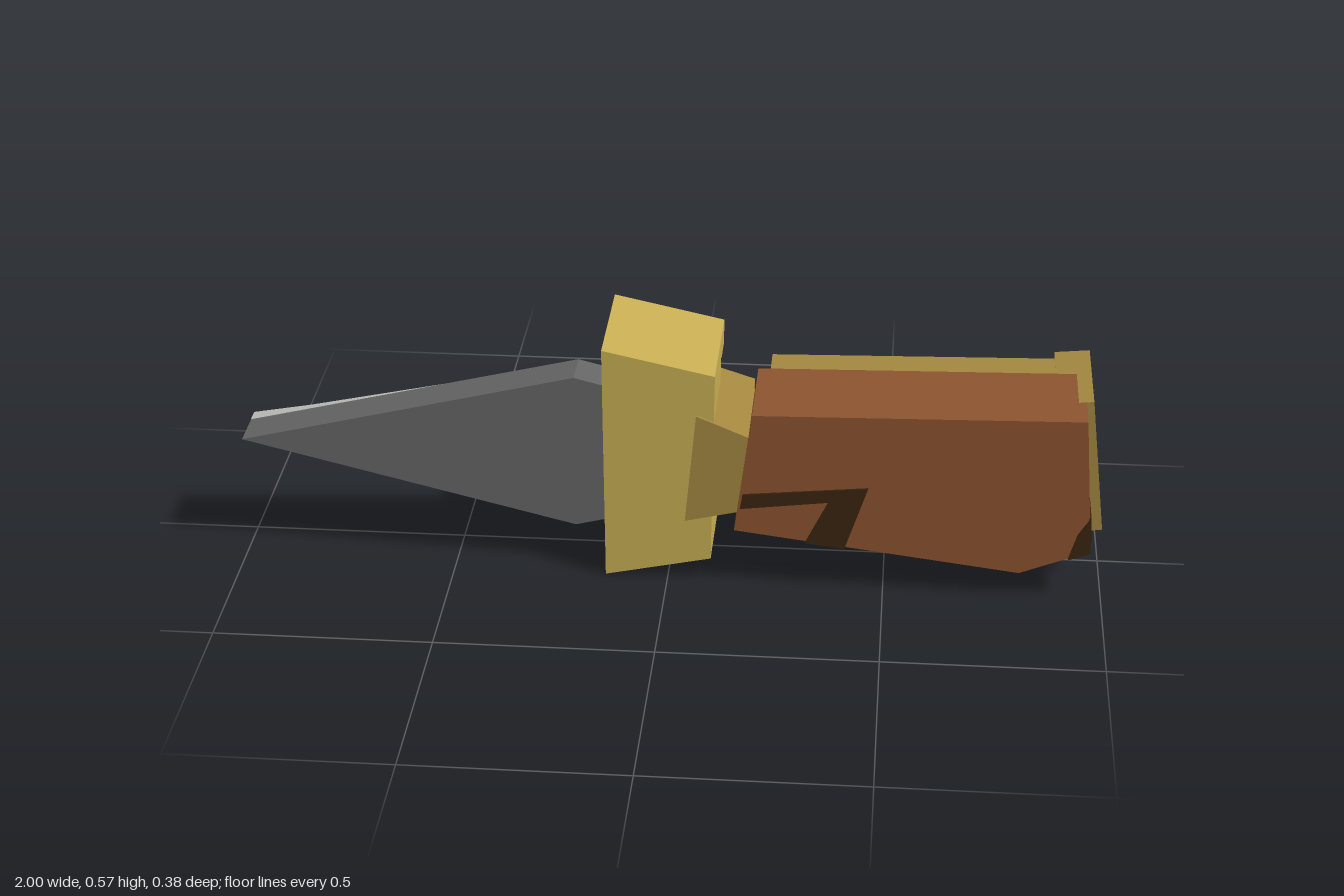
import * as THREE from 'three';

const mat = (name, color) => {
  const m = new THREE.MeshStandardMaterial({ color, flatShading: true, side: THREE.DoubleSide });
  m.name = name;
  return m;
};

export function createModel() {
  const group = new THREE.Group();
  const steel = mat('dark steel', 0x666666);
  const bright = mat('bright steel', 0xbdbdb9);
  const gold = mat('gold', 0xc8ae54);
  const bronze = mat('dark gold', 0xa48840);
  const leather = mat('brown grip', 0x8c5430);
  const dark = mat('dark brown', 0x3a2511);

  // Side outline extruded from z0 to z1, with an optional rule to move vertices
  function plate(name, material, pts, z0, z1, rule) {
    const shape = new THREE.Shape(pts.map(([x, y]) => new THREE.Vector2(x, y)));
    const g = new THREE.ExtrudeGeometry(shape, { depth: z1 - z0, bevelEnabled: false });
    g.translate(0, 0, z0);
    if (rule) {
      const p = g.attributes.position, v = new THREE.Vector3();
      for (let i = 0; i < p.count; i++) {
        rule(v.fromBufferAttribute(p, i));
        p.setXYZ(i, v.x, v.y, v.z);
      }
      g.computeVertexNormals();
    }
    const mesh = new THREE.Mesh(g, material);
    mesh.name = name;
    group.add(mesh);
  }

  // Blade plate
  plate('blade', steel,
    [[-1, 0.29], [-0.22, 0.1], [-0.14, 0.12], [-0.14, 0.46], [-0.22, 0.48]], 0, 0.1);

  // Raised ridges on the back of the blade, narrowing to the tip
  const stations = [[-1, 0.002], [-0.22, 0.19], [-0.14, 0.17]]; // x, half height
  function strip(name, material, a, b) {
    const pos = [];
    const corner = ([x, h], [v, z]) => [x, 0.29 + v * h, z];
    for (let i = 0; i < 2; i++) {
      const q = [corner(stations[i], a), corner(stations[i + 1], a),
        corner(stations[i + 1], b), corner(stations[i], b)];
      for (const k of [0, 1, 2, 0, 2, 3]) pos.push(...q[k]);
    }
    const g = new THREE.BufferGeometry();
    g.setAttribute('position', new THREE.Float32BufferAttribute(pos, 3));
    g.computeVertexNormals();
    const mesh = new THREE.Mesh(g, material);
    mesh.name = name;
    group.add(mesh);
  }
  for (const [side, s] of [['upper', 1], ['lower', -1]]) {
    const prof = [[s, 0], [s * 0.88, -0.03], [s * 0.75, -0.04], [s * 0.3, -0.04], [s * 0.15, 0]];
    for (let i = 0; i < 4; i++) {
      const a = prof[i], b = prof[i + 1];
      strip(side + 'BladeRidge' + i, i < 3 ? bright : steel, s > 0 ? a : b, s > 0 ? b : a);
    }
  }

  // Guard: body with lips along the back edge
  plate('guard', gold, [[-0.145, 0.003], [0.1, 0.055], [0.107, 0.523], [-0.15, 0.578]], -0.065, 0.157);
  plate('guardUpperLip', gold, [[-0.15, 0.5], [0.107, 0.465], [0.107, 0.523], [-0.15, 0.578]], -0.153, -0.065);
  plate('guardLowerLip', gold, [[-0.145, 0.003], [0.1, 0.055], [0.1, 0.1], [-0.145, 0.065]], -0.142, -0.065);

  // Neck between guard and grip
  plate('neck', bronze, [[0.04, 0.155], [0.19, 0.19], [0.21, 0.365], [0.065, 0.425]], -0.09, 0.163);
  plate('neckBack', bronze, [[0.06, 0.18], [0.175, 0.205], [0.18, 0.36], [0.07, 0.395]], -0.178, -0.09);

  // Grip body and its lower bar at the back
  plate('grip', leather,
    [[0.155, 0.147], [0.81, 0.065], [0.97, 0.128], [0.945, 0.457], [0.193, 0.442]], -0.065, 0.184);
  plate('gripBackBar', leather,
    [[0.17, 0.155], [0.8, 0.078], [0.94, 0.13], [0.9, 0.16], [0.8, 0.17], [0.18, 0.23]], -0.165, -0.065);

  // Side panel with a cut lower corner, and the end cap
  plate('gripSidePanel', bronze,
    [[0.21, 0.19], [0.78, 0.145], [0.9, 0.13], [0.9, 0.44], [0.22, 0.425]], -0.18, -0.06, (v) => {
      if (v.z < -0.17 && v.y < 0.16) v.y += v.x > 0.85 ? 0.11 : 0.07;
    });
  plate('endCap', bronze, [[0.915, 0.122], [1, 0.133], [0.962, 0.46], [0.88, 0.452]], -0.19, 0.085);

  // Painted dark bands on the grip
  plate('frontBand', dark,
    [[0.168, 0.205], [0.37, 0.23], [0.32, 0.126], [0.41, 0.114], [0.46, 0.27], [0.174, 0.242]], 0.184, 0.188);
  plate('bottomBand', dark, [[0.32, 0.122], [0.41, 0.111], [0.41, 0.117], [0.32, 0.128]], -0.062, 0.187);
  plate('cornerBand', dark, [[0.92, 0.109], [0.97, 0.128], [0.964, 0.212], [0.938, 0.17]], 0.184, 0.188);
  plate('endBand', dark, [[0.966, 0.155], [0.971, 0.155], [0.967, 0.216], [0.962, 0.216]], 0.08, 0.187);
  plate('cornerBottomBand', dark, [[0.92, 0.105], [0.97, 0.125], [0.97, 0.13], [0.92, 0.11]], -0.062, 0.187);

  return group;
}
